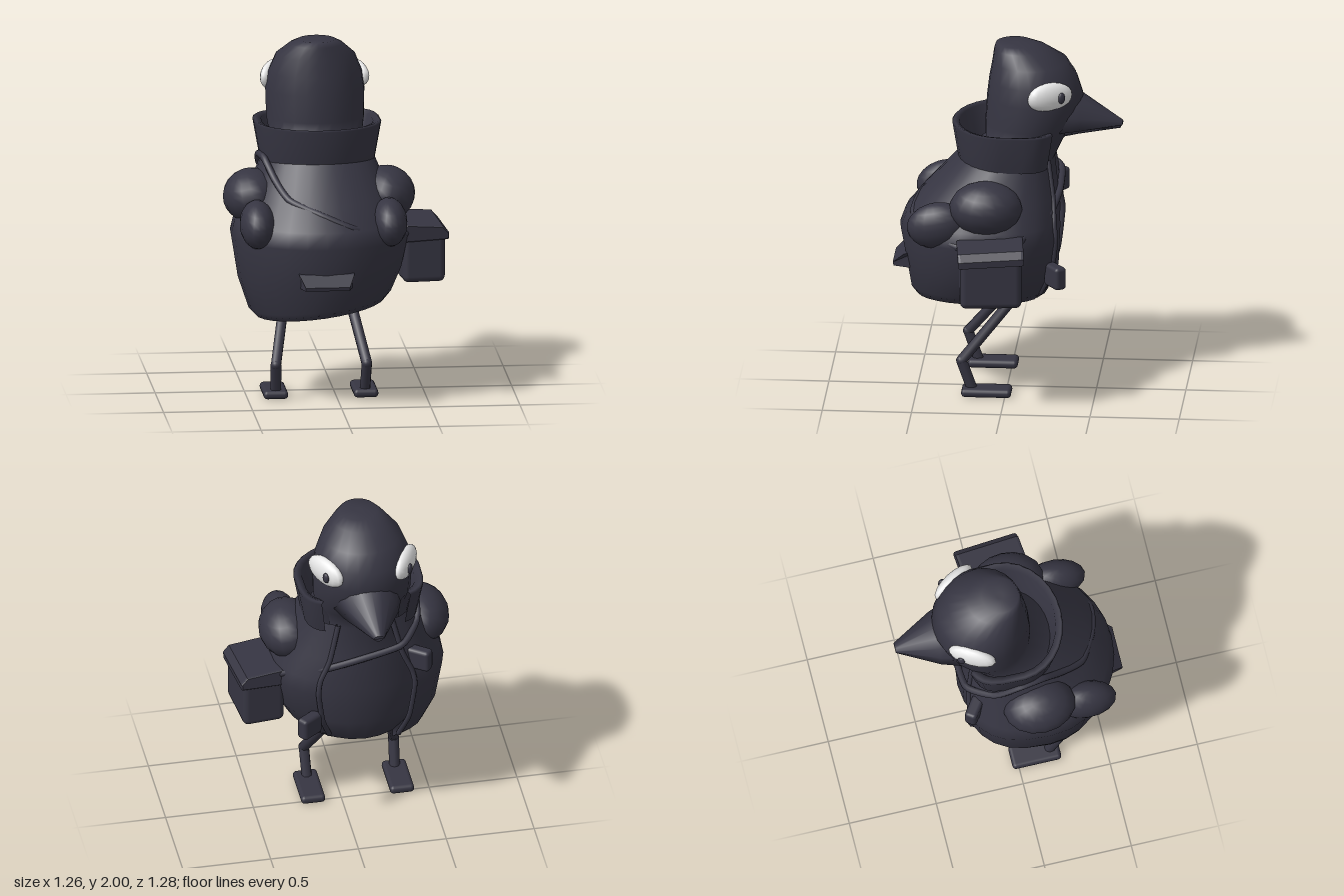
import * as THREE from 'three';
import { RoundedBoxGeometry } from 'three/addons/geometries/RoundedBoxGeometry.js';

const CX = -0.09; // mirror plane of the bird
const dark = new THREE.MeshStandardMaterial({ color: 0x363542, side: THREE.DoubleSide });
dark.name = 'charcoal';
const white = new THREE.MeshStandardMaterial({ color: 0xe6e6e6 });
white.name = 'eye white';

const V = (x, y, z) => new THREE.Vector3(x, y, z);

// Skin between point loops; closed loops wrap round, caps fill both ends
function loft(rings, closed = true, caps = true) {
  const n = rings[0].length, pos = [], idx = [];
  rings.forEach((r) => r.forEach((p) => pos.push(p.x, p.y, p.z)));
  for (let i = 0; i < rings.length - 1; i++) {
    for (let j = 0; j < (closed ? n : n - 1); j++) {
      const k = (j + 1) % n;
      const a = i * n + j, b = i * n + k, c = (i + 1) * n + k, d = (i + 1) * n + j;
      idx.push(a, b, c, a, c, d);
    }
  }
  if (caps) {
    [rings[0], rings[rings.length - 1]].forEach((r, e) => {
      const s = pos.length / 3;
      const m = r.reduce((t, p) => t.add(p), V(0, 0, 0)).divideScalar(n);
      pos.push(m.x, m.y, m.z);
      r.forEach((p) => pos.push(p.x, p.y, p.z));
      for (let j = 0; j < n; j++) {
        const a = s + 1 + j, b = s + 1 + ((j + 1) % n);
        if (e) idx.push(s, a, b); else idx.push(s, b, a);
      }
    });
  }
  const g = new THREE.BufferGeometry();
  g.setAttribute('position', new THREE.Float32BufferAttribute(pos, 3));
  g.setIndex(idx);
  g.computeVertexNormals();
  return g;
}

// Oval loop [y, centre z, half width, half depth, sideways tilt, chest squareness],
// with an optional gap at the beak side
function oval([y, cz, rx, rz, tilt = 0, power = 1], gap = 0) {
  const n = 24, pts = [];
  for (let j = 0; j < (gap ? n + 1 : n); j++) {
    const t = -(Math.PI - gap) + (2 * (Math.PI - gap) * j) / n;
    const s = Math.sin(t), c = Math.cos(t), p = c < 0 ? power : 1;
    const x = rx * Math.sign(s) * Math.abs(s) ** p;
    pts.push(V(CX + x, y + tilt * x, cz + rz * Math.sign(c) * Math.abs(c) ** p));
  }
  return pts;
}

export function createModel() {
  const model = new THREE.Group();
  model.name = 'coatedBird';
  const add = (name, geo, mat = dark, parent = model) => {
    const m = new THREE.Mesh(geo, mat);
    m.name = name;
    parent.add(m);
    return m;
  };
  const ball = (name, p, r, parent = model, mat = dark) => {
    const m = add(name, new THREE.SphereGeometry(1, 16, 12), mat, parent);
    m.position.set(...p);
    m.scale.set(...r);
    return m;
  };
  const tube = (name, pts, r, closed = false) => add(name, new THREE.TubeGeometry(
    new THREE.CatmullRomCurve3(pts, closed, 'catmullrom', 0.3), pts.length * 6, r, 8, closed));

  // Body and head as one egg-shaped skin
  add('bodyAndHead', loft([
    [0.49, 0.13, 0.02, 0.02], [0.503, 0.13, 0.2, 0.24], [0.55, 0.12, 0.32, 0.34], [0.7, 0.12, 0.41, 0.4],
    [0.93, 0.13, 0.44, 0.42], [1.15, 0.08, 0.36, 0.36], [1.34, 0, 0.27, 0.26],
    [1.45, -0.09, 0.26, 0.22], [1.55, -0.125, 0.275, 0.255], [1.7, -0.15, 0.278, 0.27],
    [1.8, -0.14, 0.262, 0.248], [1.9, -0.12, 0.222, 0.21], [1.97, -0.07, 0.15, 0.15],
    [2.0, -0.035, 0.105, 0.105], [2.0, -0.035, 0.02, 0.02],
  ].map((r) => oval(r))));

  // Open coat with a turned-in, slightly slanted hem
  const coat = [
    [0.62, 0.15, 0.35, 0.36, 0.13, 0.9], [0.52, 0.16, 0.36, 0.35, 0.13, 0.9], [0.565, 0.16, 0.4, 0.385, 0.13, 0.85],
    [0.72, 0.14, 0.46, 0.43, 0.06, 0.75], [0.93, 0.145, 0.498, 0.462, 0, 0.72], [1.02, 0.135, 0.475, 0.44, 0, 0.72],
    [1.15, 0.085, 0.4, 0.38, 0, 0.8], [1.36, 0.01, 0.31, 0.265, 0, 0.85],
  ].map((r) => oval(r, 0.45));
  add('coat', loft(coat, false, false));

  // Rolled coat edges beside the chest
  for (const j of [0, 24]) tube('coatEdge', coat.slice(2).map((ring) => ring[j]), 0.015);

  // Thick stand-up collar whose ends reach forward below the beak
  add('collar', loft([
    [1.33, 0.015, 0.32, 0.265], [1.36, 0.015, 0.325, 0.27], [1.54, 0.015, 0.357, 0.3],
    [1.55, 0.015, 0.345, 0.29], [1.54, 0.015, 0.31, 0.26], [1.33, 0.015, 0.27, 0.225],
  ].map((r) => oval([...r, 0, 0.5], 0.52)), false, false));

  // Beak halves: an arch (dir 1) or a shallow keel (dir -1) closed by a flat face
  const beak = (name, dir, sections) => add(name, loft(sections.map(([z, w, y, h]) =>
    Array.from({ length: 9 }, (_, i) => {
      const t = (Math.PI * i) / 8;
      return V(CX + w * Math.cos(t), y + dir * h * Math.sin(t), z);
    }))));
  beak('upperBeak', 1, [[-0.3, 0.19, 1.53, 0.24], [-0.41, 0.155, 1.535, 0.175], [-0.64, 0.03, 1.535, 0.02]]);
  beak('lowerBeak', -1, [[-0.3, 0.13, 1.52, 0.06], [-0.4, 0.1, 1.52, 0.038], [-0.63, 0.025, 1.53, 0.018]]);

  for (const s of [-1, 1]) {
    const mx = (x) => CX + s * (x - CX);

    // Eye set into the side of the head
    const eye = new THREE.Group();
    eye.name = 'eye';
    eye.position.set(mx(0.135), 1.757, -0.248);
    eye.rotation.y = s * 0.53;
    model.add(eye);
    ball('eyeball', [0, 0, 0], [0.05, 0.083, 0.138], eye, white);
    ball('pupil', [s * 0.045, 0, -0.05], [0.015, 0.032, 0.022], eye);

    // Puffed wing sleeve and wing tip
    ball('upperSleeve', [mx(0.29), 1.145, 0.1], [0.16, 0.15, 0.205]).rotation.z = s * -0.25;
    ball('wingTip', [mx(0.28), 1.035, 0.37], [0.1, 0.13, 0.175]).rotation.x = 0.2;

    // Bent leg and foot
    const pts = [V(mx(0.07), 0.62, -0.1), V(mx(0.165), 0.2, 0.245), V(mx(0.16), 0.03, 0.185)];
    for (let i = 0; i < 2; i++) {
      const d = pts[i + 1].clone().sub(pts[i]);
      const seg = add(i ? 'shin' : 'thigh', new THREE.CylinderGeometry(0.03, 0.03, d.length(), 8));
      seg.position.copy(pts[i]).addScaledVector(d, 0.5);
      seg.quaternion.setFromUnitVectors(V(0, 1, 0), d.normalize());
    }
    ball('knee', pts[1].toArray(), [0.03, 0.03, 0.03]);
    add('foot', new RoundedBoxGeometry(0.138, 0.048, 0.28, 2, 0.022)).position.set(mx(0.163), 0.024, 0.104);

    // Coat toggle pointing outward
    const toggle = add('toggle', new RoundedBoxGeometry(0.07, 0.13, 0.14, 2, 0.02));
    toggle.position.set(s > 0 ? 0.235 : -0.395, s > 0 ? 0.735 : 1.09, s > 0 ? -0.285 : -0.255);
    toggle.rotation.y = s * -0.95;
  }

  // Shoulder strap running across the back, then over the chest and under the coat to the bag
  tube('strap', [
    [0.42, 0.93, 0.17], [0.27, 0.97, 0.41], [0.07, 1.03, 0.52], [-0.1, 1.1, 0.49], [-0.28, 1.17, 0.39],
    [-0.35, 1.26, 0.26], [-0.4, 1.36, 0.13], [-0.42, 1.36, 0], [-0.4, 1.27, -0.14], [-0.29, 1.21, -0.28],
    [-0.05, 1.15, -0.29], [0.15, 1.08, -0.25], [0.29, 1.01, -0.14], [0.42, 0.95, -0.05],
  ].map((p) => V(...p)), 0.02, true);

  // Satchel with an overhanging lid
  const bag = new THREE.Group();
  bag.name = 'satchel';
  bag.position.set(0.475, 0, 0.06);
  bag.rotation.y = 0.1;
  model.add(bag);
  add('satchelBody', new RoundedBoxGeometry(0.24, 0.3, 0.345, 2, 0.035), dark, bag).position.y = 0.8;
  const lid = new THREE.Shape([[-0.13, 0.9], [0.13, 0.91], [0.132, 0.94], [0.1, 0.975], [-0.1, 0.99], [-0.13, 0.965]]
    .map(([x, y]) => new THREE.Vector2(x, y)));
  const lidGeo = new THREE.ExtrudeGeometry(lid, {
    depth: 0.34, bevelEnabled: true, bevelThickness: 0.015, bevelSize: 0.006, bevelSegments: 2 });
  lidGeo.translate(0, -0.94, -0.17).rotateX(0.05).translate(0, 0.94, 0);
  add('satchelLid', lidGeo, dark, bag);

  // Short wedge tail poking from the coat
  const wedge = new THREE.Shape([[-0.5, 0.8], [-0.575, 0.785], [-0.64, 0.725], [-0.635, 0.705], [-0.5, 0.7]]
    .map(([x, y]) => new THREE.Vector2(x, y)));
  const tail = add('tail', new THREE.ExtrudeGeometry(wedge, { depth: 0.31, bevelEnabled: false }));
  tail.geometry.rotateY(Math.PI / 2);
  const tp = tail.geometry.attributes.position;
  for (let i = 0; i < tp.count; i++) {
    const f = tp.getZ(i) > 0.6 ? 0.8 : 1; // narrower at the tip
    tp.setX(i, CX + (tp.getX(i) - 0.155) * f);
  }
  tail.geometry.computeVertexNormals();

  return model;
}
